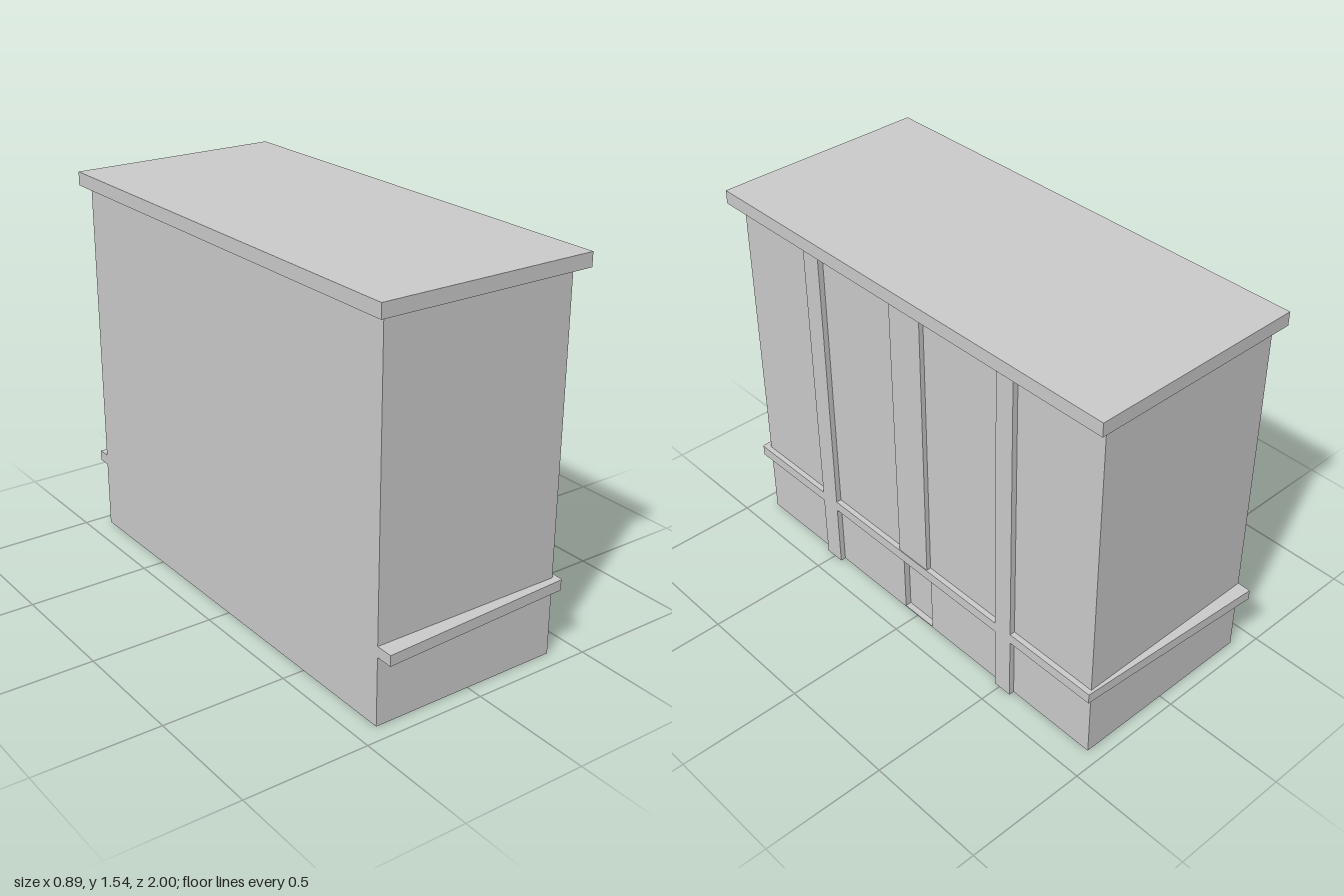
import * as THREE from 'three';

const grey = new THREE.MeshStandardMaterial({ color: 0xcccccc, flatShading: true });

// Closed shape or hole path from [u, v] points
function outline(points, Type = THREE.Shape) {
  return new Type(points.map(([u, v]) => new THREE.Vector2(u, v)));
}

export function createModel() {
  const model = new THREE.Group();

  function add(name, geometry) {
    const mesh = new THREE.Mesh(geometry, grey);
    mesh.name = name;
    model.add(mesh);
  }

  // Box given by its extents on each axis
  function addBox(name, [x0, x1], [y0, y1], [z0, z1]) {
    const g = new THREE.BoxGeometry(x1 - x0, y1 - y0, z1 - z0);
    g.translate((x0 + x1) / 2, (y0 + y1) / 2, (z0 + z1) / 2);
    add(name, g);
  }

  const front = 0.93, back = -0.945, wallTop = 1.49;
  const bandBottom = 0.275, bandTop = 0.318;

  // Main block and top slab
  addBox('body', [-0.41, 0.363], [0, wallTop], [back, front]);
  addBox('topSlab', [-0.445, 0.443], [wallTop, 1.545], [-0.98, 0.962]);

  // Outer wall skin with a shallow doorway recess; u runs along -z
  const wall = outline([[-front, 0], [-back, 0], [-back, wallTop], [-front, wallTop]]);
  wall.holes.push(outline([[-0.07, 0.005], [-0.07, bandBottom], [0.09, bandBottom], [0.09, 0.005]], THREE.Path));
  const wallGeometry = new THREE.ExtrudeGeometry(wall, { depth: 0.025, bevelEnabled: false });
  wallGeometry.rotateY(Math.PI / 2);
  wallGeometry.translate(0.363, 0, 0);
  add('facadeWall', wallGeometry);

  // Pilasters: two full height, one above the doorway
  for (const z of [[0.46, 0.545], [-0.555, -0.475]]) {
    addBox('pilaster', [0.388, 0.41], [0, wallTop], z);
  }
  addBox('centrePilaster', [0.388, 0.407], [bandTop, wallTop], [-0.09, 0.07]);

  // Band around three sides, deepening toward the plain side; v runs along -z
  const band = outline([
    [-0.41, -1], [0.405, -0.96], [0.41, -0.955], [0.41, 0.955], [-0.41, 1],
    [-0.41, -back], [0.388, -back], [0.388, -front], [-0.41, -front],
  ]);
  const bandGeometry = new THREE.ExtrudeGeometry(band, { depth: bandTop - bandBottom, bevelEnabled: false });
  bandGeometry.rotateX(-Math.PI / 2);
  bandGeometry.translate(0, bandBottom, 0);
  add('band', bandGeometry);

  return model;
}
